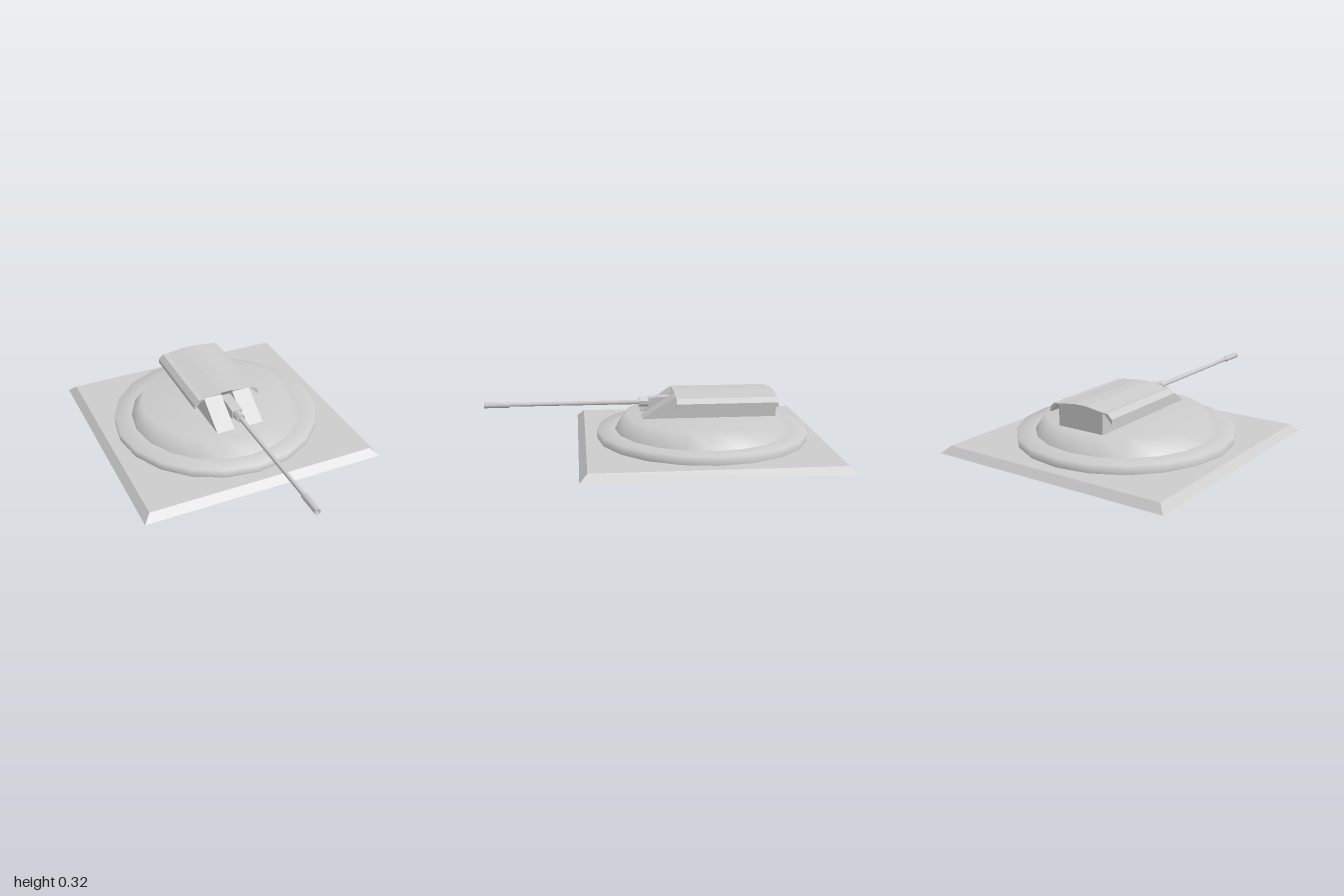
import * as THREE from 'three';
import { toCreasedNormals } from 'three/addons/utils/BufferGeometryUtils.js';

const CZ = -0.268; // centre of the base in z
const smooth = new THREE.MeshStandardMaterial({ color: 0xcccccc, side: THREE.DoubleSide });
const flat = new THREE.MeshStandardMaterial({ color: 0xcccccc, flatShading: true, side: THREE.DoubleSide });

function add(group, name, geometry, material = flat) {
  const mesh = new THREE.Mesh(geometry, material);
  mesh.name = name;
  group.add(mesh);
}

const points = (pts) => pts.map(([x, y]) => new THREE.Vector2(x, y));

// Extrude an x-y section from z0 to z1
function alongZ(pts, z0, z1) {
  return new THREE.ExtrudeGeometry(new THREE.Shape(points(pts)), { depth: z1 - z0, bevelEnabled: false })
    .translate(0, 0, z0);
}

// Extrude a z-y profile from x0 to x1
function alongX(pts, x0, x1) {
  return new THREE.ExtrudeGeometry(new THREE.Shape(points(pts)), { depth: x1 - x0, bevelEnabled: false })
    .rotateY(-Math.PI / 2).translate(x1, 0, 0);
}

// Lathe whose profile is [radius, z], turned to lie along z at gun height
function latheZ(pts) {
  const g = new THREE.LatheGeometry(points(pts), 12);
  return toCreasedNormals(g.rotateX(Math.PI / 2).translate(0, 0.25, 0), 0.9);
}

export function createModel() {
  const model = new THREE.Group();
  model.name = 'gunEmplacement';

  // Square slab with sloped rim, a shell open underneath
  const d = Math.SQRT2;
  add(model, 'baseSlab', new THREE.LatheGeometry(
    points([[0.732 * d, 0], [0.69 * d, 0.04], [0, 0.04]]), 4)
    .rotateY(Math.PI / 4).translate(0, 0, CZ));

  // Low round step and mound, shaded smoothly across their edges
  add(model, 'ringStep', new THREE.LatheGeometry(
    points([[0.62, 0.04], [0.62, 0.09], [0.515, 0.09]]), 20).translate(0, 0, CZ), smooth);
  add(model, 'mound', new THREE.LatheGeometry(
    points([[0.515, 0.09], [0.45, 0.183], [0, 0.183]]), 20).translate(0, 0, CZ), smooth);

  const turret = new THREE.Group();
  turret.name = 'turret';
  model.add(turret);

  // Middle of the turret, undercut above the gun
  add(turret, 'turretMiddle', alongX([
    [-0.68, 0.18], [-0.12, 0.18], [-0.12, 0.285], [-0.095, 0.321], [-0.68, 0.321],
  ], -0.036, 0.036));

  for (const s of [1, -1]) {
    const side = s > 0 ? 'left' : 'right';
    const mirror = (pts) => pts.map(([x, y]) => [s * x, y]);

    // Side block under the crowned roof
    add(turret, side + 'TurretSide', alongZ(mirror([
      [0.036, 0.18], [0.145, 0.18], [0.145, 0.306], [0.036, 0.321],
    ]), -0.68, -0.095));

    // Sloped cheek beside the gun slot
    add(turret, side + 'Cheek', alongX([[-0.095, 0.18], [0.1, 0.18], [-0.095, 0.31]],
      s > 0 ? 0.036 : -0.145, s > 0 ? 0.145 : -0.036));

    // Overhanging roof flap
    add(turret, side + 'RoofFlap', alongZ(mirror([
      [0.145, 0.3], [0.16, 0.298], [0.206, 0.25], [0.206, 0.278], [0.178, 0.305], [0.145, 0.306],
    ]), -0.68, -0.095));
  }

  const gun = new THREE.Group();
  gun.name = 'gun';
  model.add(gun);

  // Mantlet block in the slot, and the collar ahead of it
  add(gun, 'mantlet', alongX([
    [-0.12, 0.222], [0.05, 0.222], [0.05, 0.276], [-0.01, 0.285], [-0.12, 0.285],
  ], -0.031, 0.031));
  add(gun, 'collar', new THREE.CylinderGeometry(0.027, 0.027, 0.06, 8)
    .rotateY(Math.PI / 8).rotateX(Math.PI / 2).translate(0, 0.25, 0.075));

  // Barrel and hollow muzzle
  add(gun, 'barrel', latheZ([[0.013, 0.09], [0.012, 0.87]]), smooth);
  add(gun, 'muzzle', latheZ([
    [0.012, 0.855], [0.018, 0.86], [0.018, 1], [0.011, 1], [0.011, 0.9], [0, 0.9],
  ]), smooth);

  return model;
}
